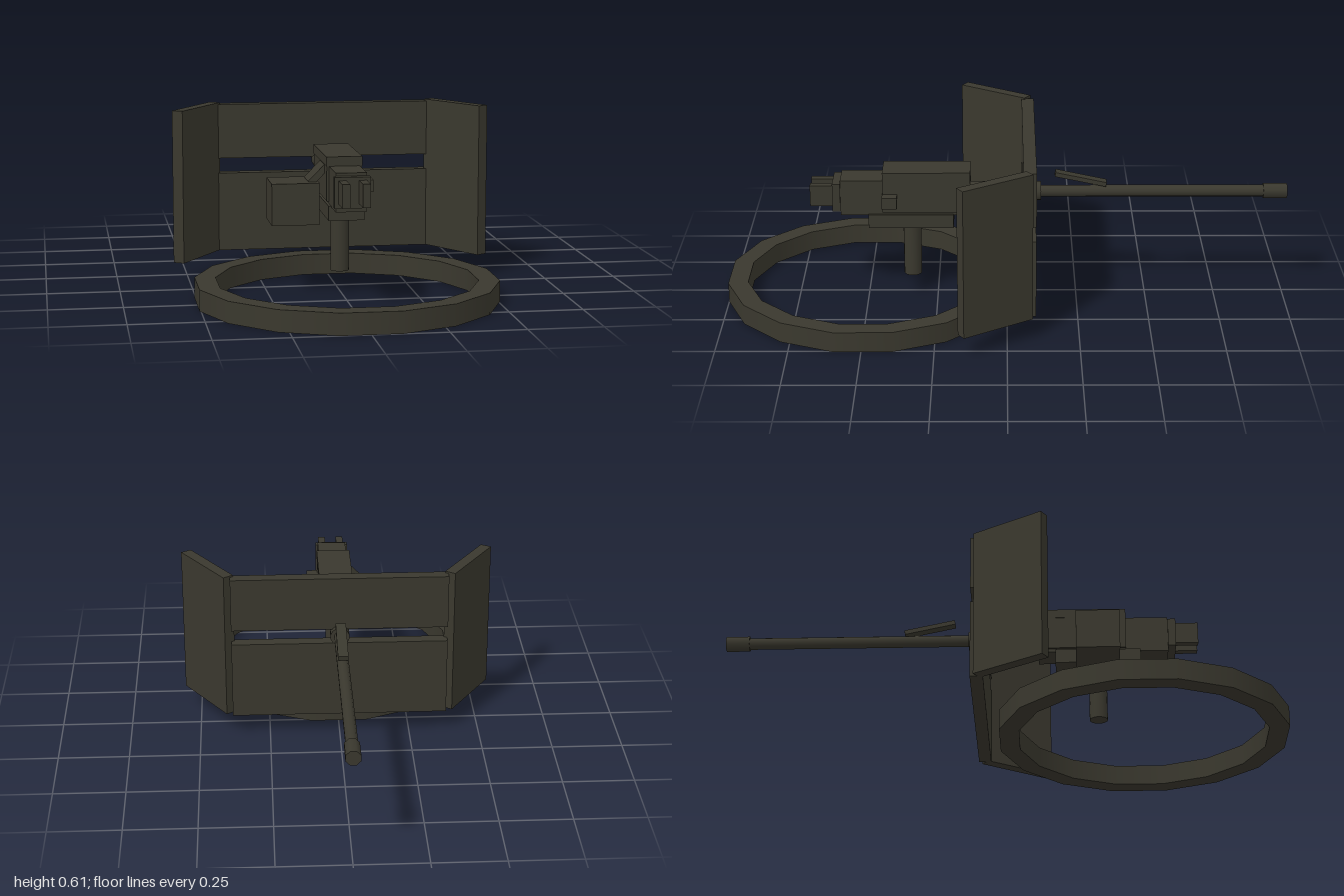
import * as THREE from 'three';
import { mergeGeometries } from 'three/addons/utils/BufferGeometryUtils.js';

export function createModel() {
  const model = new THREE.Group();
  model.name = 'shieldedRingMount';
  const olive = new THREE.MeshStandardMaterial({ color: 0x3a382e });
  olive.name = 'dark olive metal';

  const add = (name, geometry) => {
    const mesh = new THREE.Mesh(geometry, olive);
    mesh.name = name;
    model.add(mesh);
    return mesh;
  };
  // Box given by its limits on each axis
  const box = (name, [x0, x1], [y0, y1], [z0, z1]) => {
    const mesh = add(name, new THREE.BoxGeometry(x1 - x0, y1 - y0, z1 - z0));
    mesh.position.set((x0 + x1) / 2, (y0 + y1) / 2, (z0 + z1) / 2);
    return mesh;
  };
  // Cylinder lying along z at barrel height
  const tube = (name, rBack, rFront, z0, z1, sides) => {
    const g = new THREE.CylinderGeometry(rBack, rFront, z1 - z0, sides);
    g.rotateY(Math.PI / sides).rotateX(Math.PI / 2);
    add(name, g).position.set(0, 0.39, (z0 + z1) / 2);
  };

  // Sixteen-sided base ring: one lathe per profile edge keeps its rims sharp
  const k = Math.cos(Math.PI / 16);
  const outer = 0.505 / k, inner = 0.435 / k, h = 0.073;
  const profile = [[outer, 0], [outer, h], [inner, h], [inner, 0], [outer, 0]]
    .map(([r, y]) => new THREE.Vector2(r, y));
  const bands = [0, 1, 2, 3].map(i =>
    new THREE.LatheGeometry([profile[i], profile[i + 1]], 16, Math.PI / 16));
  add('baseRing', mergeGeometries(bands)).position.z = 0.495;

  // Shield: two centre panels with a viewing slot, and angled wings
  box('upperShield', [-0.383, 0.383], [0.41, 0.604], [-0.1, -0.055]);
  box('lowerShield', [-0.383, 0.383], [0.075, 0.356], [-0.1, -0.055]);
  for (const side of [1, -1]) {
    const corners = [[0.372, -0.065], [0.405, -0.088], [0.557, 0.147], [0.523, 0.168]];
    const shape = new THREE.Shape(corners.map(([x, z]) => new THREE.Vector2(x * side, -z)));
    const g = new THREE.ExtrudeGeometry(shape, { depth: 0.535, bevelEnabled: false });
    g.rotateX(-Math.PI / 2);
    add(side > 0 ? 'leftShieldWing' : 'rightShieldWing', g).position.y = 0.075;
  }

  // Pedestal and cradle
  add('pedestal', new THREE.CylinderGeometry(0.032, 0.032, 0.21, 16)).position.set(0, 0.178, 0.34);
  box('cradle', [-0.061, 0.061], [0.272, 0.322], [0.19, 0.493]);

  // Receiver, top cover and rear grips
  box('receiver', [-0.052, 0.052], [0.318, 0.449], [0.13, 0.592]);
  box('topCover', [-0.061, 0.061], [0.449, 0.481], [0.13, 0.442]);
  box('receiverSides', [-0.06, 0.06], [0.33, 0.449], [0.13, 0.442]);
  box('backPlate', [-0.06, 0.06], [0.335, 0.439], [0.592, 0.62]);
  for (const side of [1, -1]) {
    const grip = box('grip', [-0.013, 0.013], [0.35, 0.428], [0.62, 0.7]);
    grip.position.x = 0.034 * side;
  }
  box('chargingHandle', [0.05, 0.1], [0.358, 0.4], [0.39, 0.443]);

  // Ammunition box and sloping feed chute
  box('ammoBox', [-0.243, -0.08], [0.245, 0.388], [0.262, 0.415]);
  const chute = box('feedChute', [-0.05, 0.05], [-0.011, 0.011], [0.285, 0.385]);
  chute.position.set(-0.073, 0.418, 0.335);
  chute.rotation.z = Math.PI / 4;

  // Barrel, collar and muzzle
  tube('barrelCollar', 0.034, 0.034, -0.122, 0.14, 12);
  tube('barrel', 0.021, 0.021, -0.92, 0, 12);
  tube('muzzle', 0.027, 0.027, -1, -0.915, 8);

  // Tilted strip above the barrel
  const strip = box('sightStrip', [-0.018, 0.018], [-0.008, 0.008], [-0.093, 0.093]);
  strip.position.set(0, 0.439, -0.263);
  strip.rotation.x = -0.21;

  return model;
}
